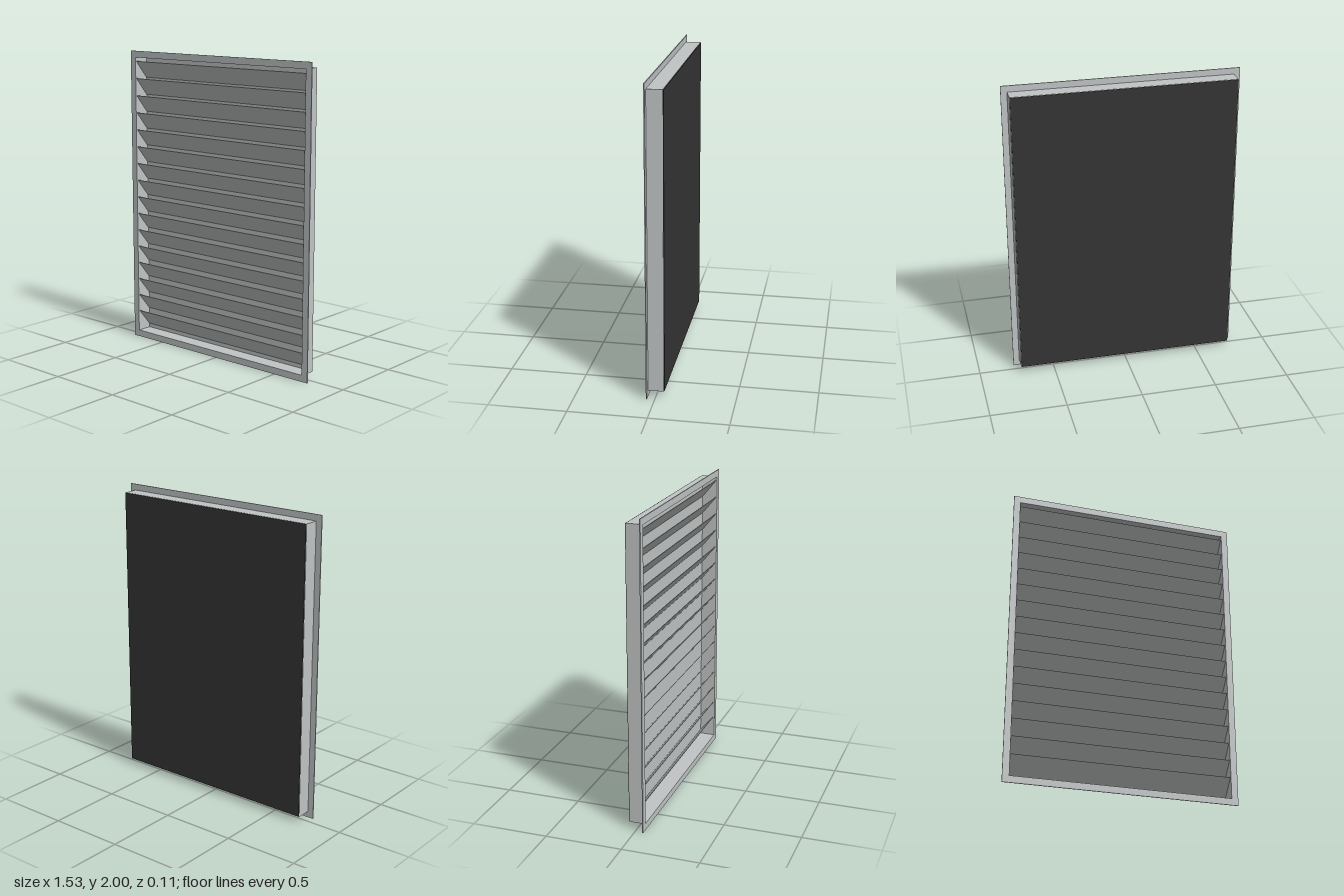
import * as THREE from 'three';

const metal = new THREE.MeshStandardMaterial({ color: 0xc0c4c4 });
metal.name = 'pale grey metal';
const dark = new THREE.MeshStandardMaterial({ color: 0x343434 });
dark.name = 'dark backing';

// Rectangular ring between two half sizes, extruded from z0 to z1
function ring(outerW, outerH, innerW, innerH, z0, z1) {
  const rect = (Type, w, h) => {
    const p = new Type();
    p.moveTo(-w, -h).lineTo(w, -h).lineTo(w, h).lineTo(-w, h).closePath();
    return p;
  };
  const shape = rect(THREE.Shape, outerW, outerH);
  shape.holes.push(rect(THREE.Path, innerW, innerH));
  return new THREE.ExtrudeGeometry(shape, { depth: z1 - z0, bevelEnabled: false }).translate(0, 1, z0);
}

export function createModel() {
  const group = new THREE.Group();
  const add = (name, geometry, material) => {
    const mesh = new THREE.Mesh(geometry, material);
    mesh.name = name;
    group.add(mesh);
    return mesh;
  };

  // Front flange and the shallow duct behind it
  add('flange', ring(0.765, 1, 0.721, 0.956, 0.048, 0.055), metal);
  add('duct', ring(0.725, 0.959, 0.721, 0.956, -0.051, 0.048), metal);

  // Back: pale inner panel, dark outer sheet
  add('innerPanel', new THREE.BoxGeometry(1.442, 1.912, 0.003).translate(0, 1, -0.0495), metal);
  add('backSheet', new THREE.BoxGeometry(1.444, 1.914, 0.004).translate(0, 1, -0.053), dark);

  // Louvre slats, high at the front and low at the back
  const count = 16, pitch = 0.1163, rise = 0.113, depth = 0.093;
  const slat = new THREE.BoxGeometry(1.438, 0.004, Math.hypot(rise, depth));
  slat.rotateX(-Math.atan2(rise, depth));
  const slats = new THREE.Group();
  slats.name = 'slats';
  for (let i = 0; i < count; i++) {
    const mesh = new THREE.Mesh(slat, metal);
    mesh.name = 'slat';
    mesh.position.set(0, 1.002 + (i - (count - 1) / 2) * pitch, 0.001);
    slats.add(mesh);
  }
  group.add(slats);
  return group;
}
